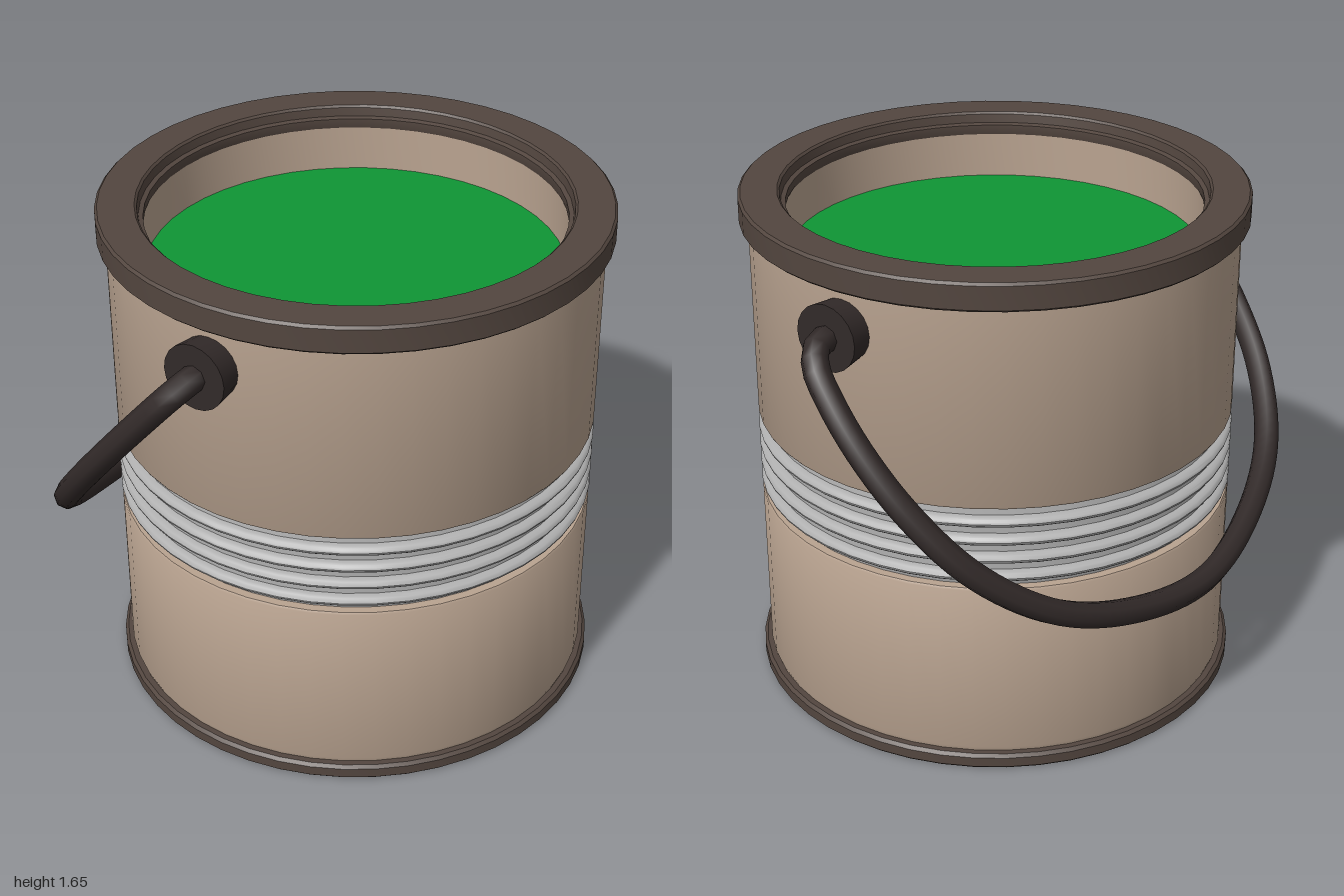
import * as THREE from 'three';
import { toCreasedNormals } from 'three/addons/utils/BufferGeometryUtils.js';

const SEG = 48;
const CX = 0.027, CZ = 0.01; // axis of the can

const material = (name, color) => {
  const m = new THREE.MeshStandardMaterial({ color });
  m.name = name;
  return m;
};

function addMesh(parent, name, geometry, mat) {
  const mesh = new THREE.Mesh(geometry, mat);
  mesh.name = name;
  parent.add(mesh);
  return mesh;
}

// Revolved [radius, height] profile with sharp corners kept
function turned(points) {
  const g = new THREE.LatheGeometry(points.map(([r, y]) => new THREE.Vector2(r, y)), SEG);
  return toCreasedNormals(g, 0.6);
}

export function createModel() {
  const tan = material('tan', 0xb9a390);
  const brown = material('dark brown', 0x53463f);
  const black = material('brownish black', 0x322a29);
  const silver = material('silver', 0xb0b0b0);
  const green = material('paint green', 0x0f9535);

  const model = new THREE.Group();
  model.name = 'paintCan';
  const can = new THREE.Group();
  can.name = 'can';
  can.position.set(CX, 0, CZ);
  model.add(can);

  // Base with a slightly rounded rim
  addMesh(can, 'base', turned([
    [0, 0], [0.785, 0], [0.793, 0.008], [0.793, 0.04], [0.783, 0.05], [0.75, 0.05],
  ]), brown);

  // Painted walls below and above the ribbed band
  addMesh(can, 'lowerWall', turned([
    [0.762, 0.045], [0.769, 0.065], [0.769, 0.636], [0.765, 0.643], [0.73, 0.643],
  ]), tan);
  addMesh(can, 'upperWall', turned([
    [0.73, 0.917], [0.765, 0.917], [0.769, 0.924], [0.769, 1.565],
  ]), tan);

  // Ribbed metal band
  const band = [[0.737, 0.64]];
  for (const y of [0.68, 0.742, 0.804, 0.866]) {
    for (let i = 0; i <= 8; i++) {
      const a = -Math.PI / 2 + (i / 8) * Math.PI;
      band.push([0.742 + 0.029 * Math.cos(a), y + 0.018 * Math.sin(a)]);
    }
  }
  band.push([0.737, 0.92]);
  addMesh(can, 'ribbedBand', turned(band), silver);

  // Top rim with an inner lip
  addMesh(can, 'rim', turned([
    [0.65, 1.585], [0.66, 1.56], [0.787, 1.56], [0.796, 1.568], [0.796, 1.642], [0.788, 1.65],
    [0.675, 1.65], [0.668, 1.643], [0.664, 1.615], [0.65, 1.61], [0.65, 1.585],
  ]), brown);

  // Inside wall and paint surface
  addMesh(can, 'innerWall', turned([[0.653, 1.6], [0.653, 1.4]]), tan);
  const paint = addMesh(can, 'paint', new THREE.CircleGeometry(0.655, SEG).rotateX(-Math.PI / 2), green);
  paint.position.y = 1.43;

  // Handle mounts on both sides
  for (const s of [1, -1]) {
    const g = new THREE.CylinderGeometry(0.105, 0.095, 0.09, 20).rotateX((s * Math.PI) / 2);
    const mount = addMesh(can, s > 0 ? 'frontMount' : 'backMount', toCreasedNormals(g, 0.6), black);
    mount.position.set(0, 1.435, s * 0.797);
  }

  // Swinging handle: [fraction along the tilted plane, z], mirrored front to back
  const half = [
    [0, 0.8], [0.005, 0.875], [0.045, 0.925], [0.14, 0.952], [0.28, 0.96], [0.45, 0.932],
    [0.64, 0.845], [0.82, 0.655], [0.94, 0.37],
  ];
  const at = ([t, z]) => new THREE.Vector3(CX - 0.813 * t, 1.435 - 0.935 * t, z);
  const path = new THREE.CatmullRomCurve3([
    ...half.map(at),
    at([1, 0]),
    ...half.map(([t, z]) => at([t, -z])).reverse(),
  ]);
  addMesh(model, 'handle', new THREE.TubeGeometry(path, 90, 0.041, 8), black);

  return model;
}
